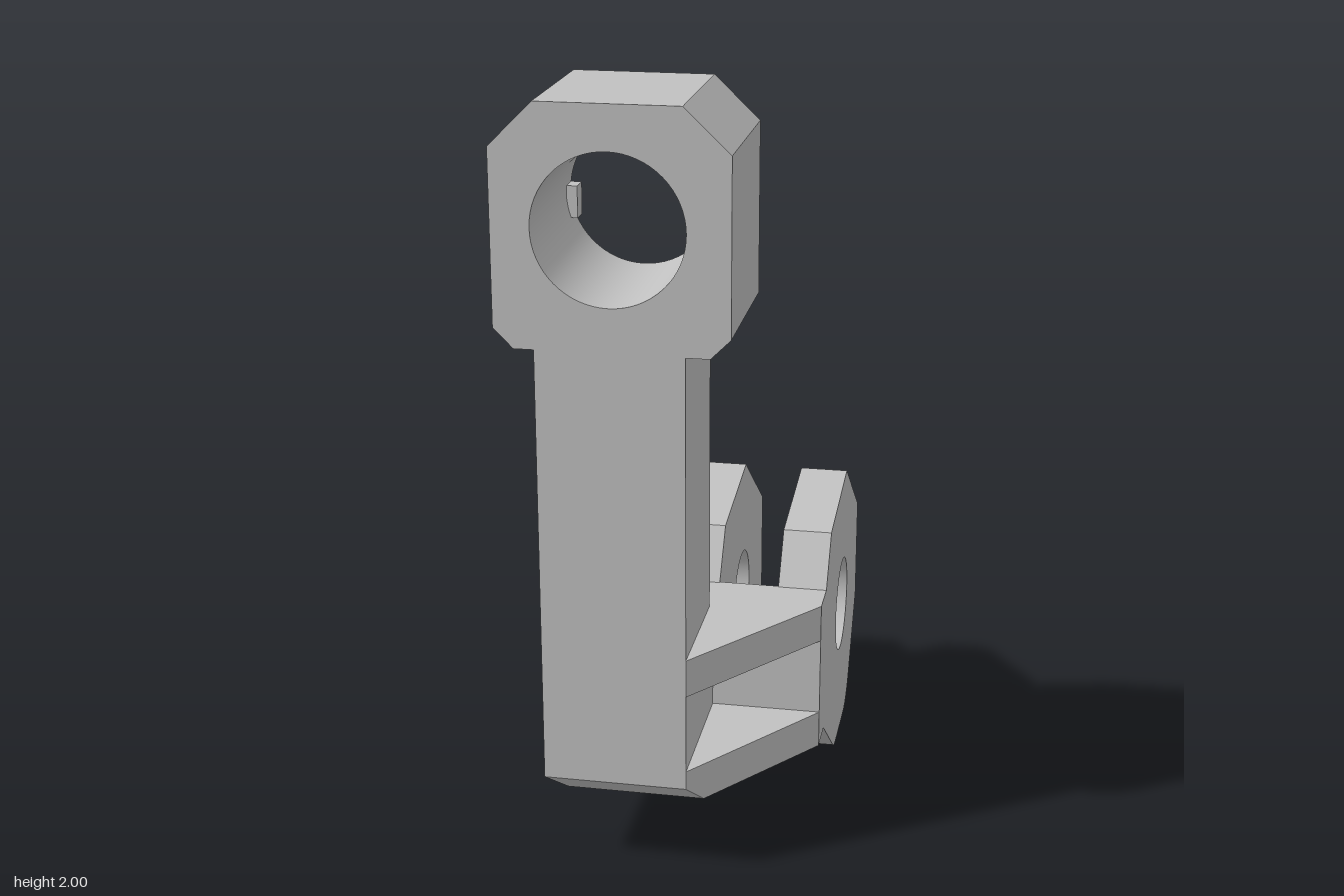
import * as THREE from 'three';
import { toCreasedNormals } from 'three/addons/utils/BufferGeometryUtils.js';
import { ConvexGeometry } from 'three/addons/geometries/ConvexGeometry.js';

const grey = new THREE.MeshStandardMaterial({ color: 0xc0c0c0 });
grey.name = 'light grey';

export function createModel() {
  const model = new THREE.Group();
  model.name = 'hingeBracket';

  const add = (name, geometry) => {
    const mesh = new THREE.Mesh(geometry, grey);
    mesh.name = name;
    model.add(mesh);
    return mesh;
  };
  // Box given by its limits on each axis
  const block = (name, [x0, x1], [y0, y1], [z0, z1]) =>
    add(name, new THREE.BoxGeometry(x1 - x0, y1 - y0, z1 - z0))
      .position.set((x0 + x1) / 2, (y0 + y1) / 2, (z0 + z1) / 2);
  const hull = (name, points) =>
    add(name, new ConvexGeometry(points.map((p) => new THREE.Vector3(...p))));
  // Plate with one round hole, sharp corners and a smooth bore
  const plate = (shape, cx, cy, r, depth) => {
    shape.holes.push(new THREE.Path().absarc(cx, cy, r, 0, Math.PI * 2, true));
    const geo = new THREE.ExtrudeGeometry(shape, { depth, bevelEnabled: false, curveSegments: 32 });
    return toCreasedNormals(geo, 0.45);
  };

  // Bored head with chamfered corners
  const headShape = new THREE.Shape([
    [-0.33, 1.4], [0.15, 1.4], [0.2, 1.45], [0.2, 1.89],
    [0.085, 2], [-0.27, 2], [-0.38, 1.89], [-0.38, 1.45],
  ].map((p) => new THREE.Vector2(...p)));
  add('head', plate(headShape, -0.095, 1.7, 0.188, 0.42).translate(0, 0, 0.21));

  // Small keys inside the back end of the bore
  for (const s of [-1, 1]) {
    const a = -0.095 + s * 0.16, b = -0.095 + s * 0.2;
    block('boreKey', [Math.min(a, b), Math.max(a, b)], [1.635, 1.717], [0.21, 0.26]);
  }

  // Upright post, chamfered along the back edges and round the foot
  const section = [[-0.28, 0.63], [0.09, 0.63], [0.09, 0.29], [0.04, 0.24], [-0.23, 0.24], [-0.28, 0.29]];
  const foot = [[-0.23, 0.58], [0.09, 0.58], [0.09, 0.29], [0.04, 0.24], [-0.23, 0.24]];
  hull('post', [
    ...section.map(([x, z]) => [x, 1.4, z]),
    ...section.map(([x, z]) => [x, 0.25, z]),
    ...foot.map(([x, z]) => [x, 0.2, z]),
  ]);

  // Plate joining the post to the hinge lugs
  block('backPlate', [-0.04, 0.38], [0.2, 0.61], [0.13, 0.24]);
  block('cornerFill', [0, 0.09], [0.2, 0.61], [0.24, 0.3]);

  // Triangular gussets, the lower one cut by the foot chamfer
  const triangle = [[0.03, 0.24], [0.09, 0.24], [0.09, 0.63], [0.38, 0.24]];
  hull('upperGusset', [0.51, 0.61].flatMap((y) => triangle.map(([x, z]) => [x, y, z])));
  hull('lowerGusset', [
    ...[0.25, 0.3].flatMap((y) => triangle.map(([x, z]) => [x, y, z])),
    [0.03, 0.2, 0.24], [0.09, 0.2, 0.58], [0.127, 0.2, 0.58], [0.38, 0.2, 0.24],
  ]);

  // Pair of hinge lugs, profile drawn in z and y
  for (const x of [-0.04, 0.25]) {
    const lug = new THREE.Shape();
    lug.moveTo(0.135, 0.2);
    lug.lineTo(0.135, 0.61);
    lug.lineTo(0.045, 0.74);
    lug.lineTo(-0.305, 0.79);
    lug.lineTo(-0.63, 0.565);
    lug.lineTo(-0.63, 0.27);
    lug.lineTo(-0.49, 0.075);
    lug.quadraticCurveTo(-0.44, 0.005, -0.365, 0);
    lug.lineTo(-0.18, 0);
    lug.quadraticCurveTo(-0.135, 0, -0.1, 0.027);
    const geo = plate(lug, -0.245, 0.405, 0.133, 0.13);
    add('hingeLug', geo.rotateY(-Math.PI / 2).translate(x + 0.13, 0, 0));
  }
  return model;
}
